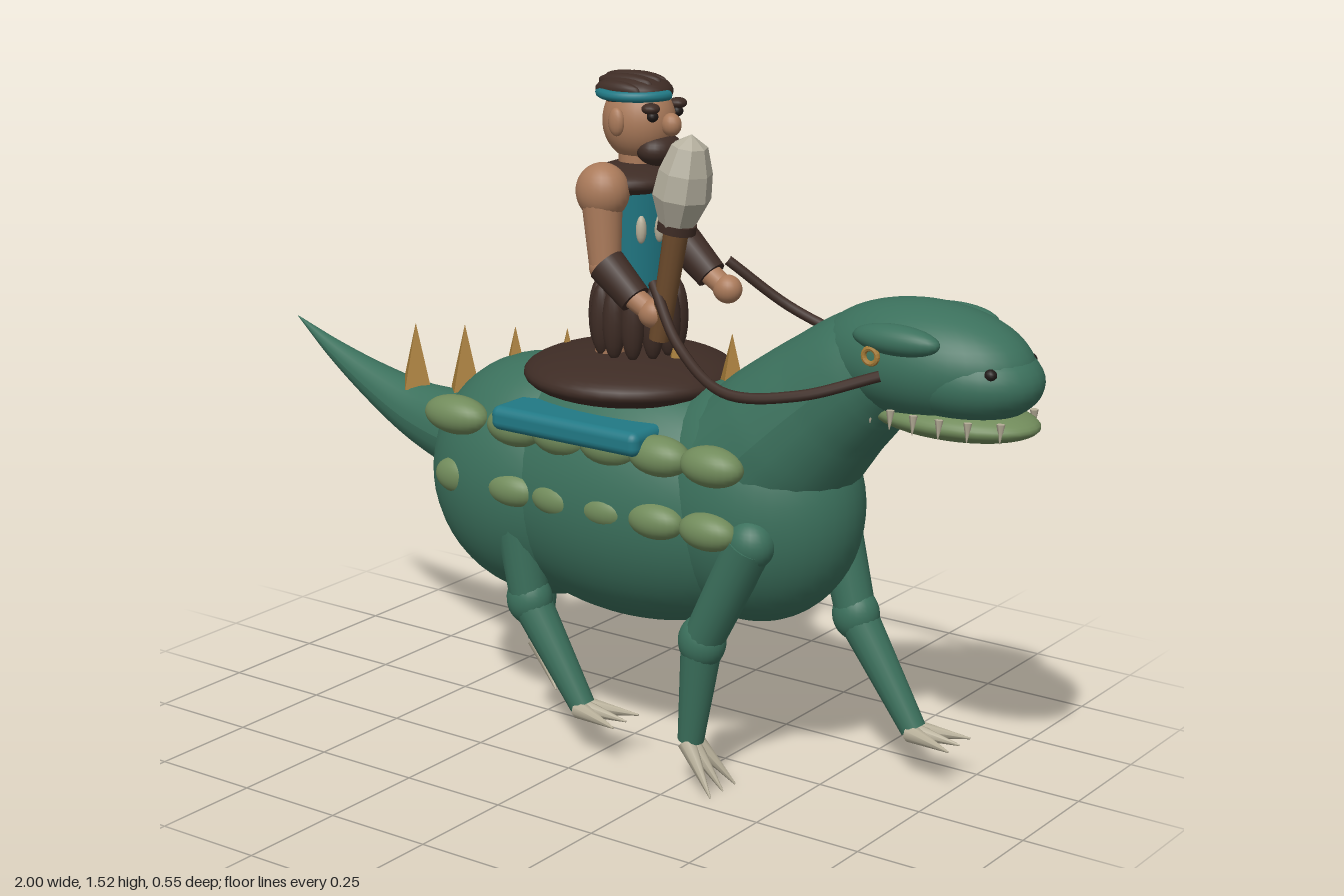
import * as THREE from 'three';
import { RoundedBoxGeometry } from 'three/addons/geometries/RoundedBoxGeometry.js';

const V = (x, y, z) => new THREE.Vector3(x, y, z);

export function createModel() {
  const model = new THREE.Group();
  model.name = 'lizardRider';

  const paint = (name, color, flatShading = false) => {
    const m = new THREE.MeshStandardMaterial({ color });
    m.name = name;
    m.flatShading = flatShading;
    return m;
  };
  const green = paint('hide green', 0x3b705c);
  const moss = paint('scute green', 0x718b5b);
  const skin = paint('skin', 0xaa7a5a);
  const brown = paint('dark fur', 0x3e2c25);
  const teal = paint('teal cloth', 0x217985);
  const bone = paint('bone', 0xb8b09a);
  const stone = paint('stone', 0xb5b09f, true);
  const ochre = paint('ochre horn', 0xa67c38, true);
  const wood = paint('wood', 0x6d4b2c);
  const black = paint('eye black', 0x1f1917);

  const add = (name, geometry, material, parent = model) => {
    const mesh = new THREE.Mesh(geometry, material);
    mesh.name = name;
    parent.add(mesh);
    return mesh;
  };
  const blob = (name, mat, p, r, parent = model, seg = 24) => {
    const m = add(name, new THREE.SphereGeometry(1, seg, Math.ceil(seg * 0.67)), mat, parent);
    m.position.set(...p);
    m.scale.set(...r);
    return m;
  };
  // Straight tapered limb from a to b
  const limb = (name, mat, a, b, ra, rb, parent = model, sides = 16) => {
    const A = V(...a), B = V(...b), d = B.clone().sub(A);
    const m = add(name, new THREE.CylinderGeometry(rb, ra, d.length(), sides), mat, parent);
    m.position.copy(A).add(B).multiplyScalar(0.5);
    m.quaternion.setFromUnitVectors(V(0, 1, 0), d.normalize());
    return m;
  };
  // Curved tube whose radius follows the fourth number of every point
  const taper = (name, mat, pts, segs = 28, sides = 24) => {
    const curve = new THREE.CatmullRomCurve3(pts.map(p => V(p[0], p[1], p[2])));
    const geo = new THREE.TubeGeometry(curve, segs, 1, sides);
    const pos = geo.attributes.position, v = V(0, 0, 0);
    for (let i = 0; i < pos.count; i++) {
      const u = Math.floor(i / (sides + 1)) / segs;
      const t = curve.getUtoTmapping(u) * (pts.length - 1);
      const k = Math.min(Math.floor(t), pts.length - 2);
      const r = THREE.MathUtils.lerp(pts[k][3], pts[k + 1][3], t - k);
      const c = curve.getPointAt(u);
      v.fromBufferAttribute(pos, i).sub(c).multiplyScalar(r).add(c);
      pos.setXYZ(i, v.x, v.y, v.z);
    }
    geo.computeVertexNormals();
    return add(name, geo, mat);
  };

  // Body, neck and tail
  blob('hips', green, [-0.24, 0.58, 0], [0.285, 0.28, 0.23], model, 40);
  blob('belly', green, [0.02, 0.59, 0], [0.45, 0.29, 0.235], model, 40);
  blob('chest', green, [0.32, 0.62, 0], [0.255, 0.27, 0.2], model, 40);
  taper('neck', green, [[0.3, 0.67, 0, 0.19], [0.42, 0.79, 0, 0.175], [0.52, 0.885, 0, 0.15],
    [0.6, 0.95, 0, 0.135], [0.68, 0.99, 0, 0.115]]);
  blob('neckBase', green, [0.38, 0.76, 0], [0.17, 0.165, 0.17]);
  taper('tail', green, [[-0.4, 0.63, 0, 0.105], [-0.5, 0.64, 0, 0.092], [-0.62, 0.663, 0, 0.07],
    [-0.75, 0.71, 0, 0.047], [-0.88, 0.77, 0, 0.024], [-1, 0.837, 0, 0.001]]);

  // Head
  blob('skull', green, [0.735, 0.995, 0], [0.245, 0.125, 0.142], model, 36);
  blob('snout', green, [0.82, 0.975, 0], [0.178, 0.095, 0.128], model, 32);
  blob('jaw', moss, [0.805, 0.885, 0], [0.19, 0.04, 0.115], model, 32);
  for (const s of [1, -1]) {
    blob('brow', green, [0.735, 1.06, s * 0.122], [0.1, 0.032, 0.035]);
    blob('eye', black, [0.93, 1.008, s * 0.083], [0.014, 0.013, 0.013], model, 12);
    for (let i = 0; i < 6; i++) {
      const x = 0.66 + i * 0.058;
      const z = s * 0.116 * Math.sqrt(1 - ((x - 0.79) / 0.2) ** 2);
      limb('tooth', bone, [x, 0.908, z], [x, 0.868, z * 1.03], 0.009, 0.001, model, 6);
    }
    const ring = add('bitRing', new THREE.TorusGeometry(0.016, 0.006, 8, 16), ochre);
    ring.position.set(0.69, 1.025, s * 0.145);
    add('rein', new THREE.TubeGeometry(new THREE.CatmullRomCurve3([
      V(0.15, 1.1, s * 0.14), V(0.27, 0.995, s * 0.215), V(0.42, 0.93, s * 0.265),
      V(0.57, 0.94, s * 0.225), V(0.71, 0.985, s * 0.14)]), 32, 0.0115, 8), brown);
  }

  // Back spikes
  for (let i = 0; i < 7; i++) {
    const x = -0.63 + i * 0.148;
    limb('backSpike', ochre, [x, 0.72 + i * 0.0175, 0], [x, 0.872 + i * 0.0175, 0], 0.043, 0.0005, model, 4);
  }

  // Two rows of scutes on each flank
  const flankX = [-0.355, -0.185, -0.06, 0.07, 0.2, 0.335];
  for (const s of [1, -1]) {
    flankX.forEach((x, i) => {
      blob('upperScute', moss, [x, 0.74, s * 0.187], [i ? 0.076 : 0.085, 0.044, 0.046]);
      blob('lowerScute', moss, [x, 0.6, s * (i ? 0.2 : 0.192)], [i ? 0.07 : 0.055, 0.041, i ? 0.04 : 0.03]);
    });
  }

  // Legs: hip, knee, ankle, toe reach in x and drop in y
  const leg = (name, s, hip, knee, ankle, reach, drop) => {
    const g = new THREE.Group();
    g.name = name;
    model.add(g);
    const z = s * 0.16;
    const at = (p, zz = z) => [p[0], p[1], zz];
    blob('shoulder', green, at(hip, s * 0.165), [0.055, 0.055, 0.05], g);
    limb('upperLeg', green, at(hip, s * 0.167), at(knee), 0.052, 0.045, g);
    blob('knee', green, at(knee), [0.054, 0.06, 0.049], g);
    limb('lowerLeg', green, at(knee), at(ankle, s * 0.157), 0.046, 0.029, g);
    for (const k of [-1, 0, 1]) {
      limb('toe', bone, [ankle[0], ankle[1] - 0.004, s * 0.157 + k * 0.014],
        [ankle[0] + reach, ankle[1] - drop, s * 0.157 + k * 0.048], 0.021, 0.002, g, 8);
    }
  };
  leg('leftForeleg', 1, [0.42, 0.58], [0.295, 0.335], [0.265, 0.1], 0.085, 0.1);
  leg('rightForeleg', -1, [0.42, 0.58], [0.485, 0.345], [0.64, 0.11], 0.115, 0.01);
  leg('leftHindLeg', 1, [-0.2, 0.52], [-0.175, 0.335], [-0.03, 0.11], 0.12, 0.01);
  leg('rightHindLeg', -1, [-0.34, 0.52], [-0.385, 0.345], [-0.395, 0.1], 0.085, 0.1);

  // Saddle
  const blanket = add('saddleBlanket', new RoundedBoxGeometry(0.395, 0.055, 0.49, 3, 0.02), teal);
  blanket.position.set(-0.02, 0.768, 0);
  blob('saddle', brown, [-0.01, 0.855, 0], [0.238, 0.058, 0.235], model, 36);

  // Rider
  const rider = new THREE.Group();
  rider.name = 'rider';
  model.add(rider);
  const torso = add('torso', new THREE.CylinderGeometry(0.112, 0.092, 0.24, 28), teal, rider);
  torso.position.set(0.014, 1.165, 0);
  torso.scale.x = 0.8;
  blob('furCollar', brown, [0.013, 1.292, 0], [0.103, 0.038, 0.135], rider, 28);
  blob('waist', brown, [0.01, 1.02, 0], [0.085, 0.06, 0.092], rider);
  for (let i = 0; i < 12; i++) {
    const a = i / 12 * Math.PI * 2;
    blob('kiltStrip', brown, [0.01 + 0.082 * Math.cos(a), 0.985, 0.09 * Math.sin(a)],
      [0.026, 0.083, 0.026], rider, 14);
  }
  for (let i = -2; i <= 2; i++) {
    blob('necklaceTooth', bone, [0.1 - 0.007 * i * i, 1.195, i * 0.038], [0.012, 0.031, 0.012], rider, 12);
  }
  for (const s of [1, -1]) {
    limb('riderLeg', skin, [s * -0.03, 0.87, s * 0.05], [s * -0.02, 1.02, s * 0.05], 0.035, 0.04, rider);
    blob('riderShoulder', skin, [0.01, 1.28, s * 0.13], [0.06, 0.062, 0.054], rider);
    limb('upperArm', skin, [0.012, 1.26, s * 0.135], [0.025, 1.12, s * 0.142], 0.044, 0.034, rider);
    blob('elbow', skin, [0.025, 1.12, s * 0.142], [0.035, 0.035, 0.035], rider);
    limb('bracer', brown, [0.03, 1.125, s * 0.143], [0.105, 1.06, s * 0.143], 0.043, 0.036, rider);
    limb('wrist', skin, [0.09, 1.07, s * 0.143], [0.14, 1.04, s * 0.14], 0.026, 0.024, rider);
    blob('hand', skin, [0.15, 1.035, s * 0.14], [0.034, 0.032, 0.03], rider);
  }

  // Rider's head
  limb('riderNeck', skin, [0.012, 1.28, 0], [0.012, 1.37, 0], 0.045, 0.045, rider);
  blob('head', skin, [0.012, 1.415, 0], [0.083, 0.088, 0.074], rider, 28);
  blob('nose', skin, [0.102, 1.415, 0.008], [0.023, 0.025, 0.021], rider, 16);
  blob('beard', brown, [0.065, 1.358, 0], [0.046, 0.036, 0.057], rider);
  blob('hair', brown, [0, 1.48, 0], [0.088, 0.036, 0.074], rider);
  for (let i = -2; i <= 2; i++) {
    blob('hairLock', brown, [-0.005, 1.502 - 0.004 * i * i, i * 0.028], [0.075 - 0.004 * i * i, 0.019, 0.017], rider, 16);
  }
  for (const s of [1, -1]) {
    blob('ear', skin, [0.005, 1.42, s * 0.073], [0.02, 0.031, 0.014], rider, 14);
    blob('eyebrow', brown, [0.078, 1.452, s * 0.05], [0.02, 0.012, 0.021], rider, 14);
    blob('riderEye', black, [0.08, 1.435, s * 0.046], [0.012, 0.012, 0.014], rider, 12);
  }
  const band = add('headband', new THREE.TorusGeometry(0.08, 0.011, 10, 28, Math.PI), teal, rider);
  band.rotation.x = Math.PI / 2;
  band.position.set(0.012, 1.477, 0.006);

  // Stone club in the left hand
  const club = new THREE.Group();
  club.name = 'club';
  club.position.set(0.163, 0.98, 0.137);
  club.rotation.z = -0.18;
  model.add(club);
  limb('clubHandle', wood, [0, 0, 0], [0, 0.26, 0], 0.022, 0.027, club, 12);
  limb('clubBinding', brown, [0, 0.243, 0], [0, 0.262, 0], 0.042, 0.042, club, 16);
  const head = add('clubHead', new THREE.LatheGeometry([[0, 0.255], [0.042, 0.258], [0.068, 0.32],
    [0.062, 0.375], [0.042, 0.43], [0, 0.455]].map(p => new THREE.Vector2(...p)), 8), stone, club);
  head.scale.x = 0.88;

  return model;
}
